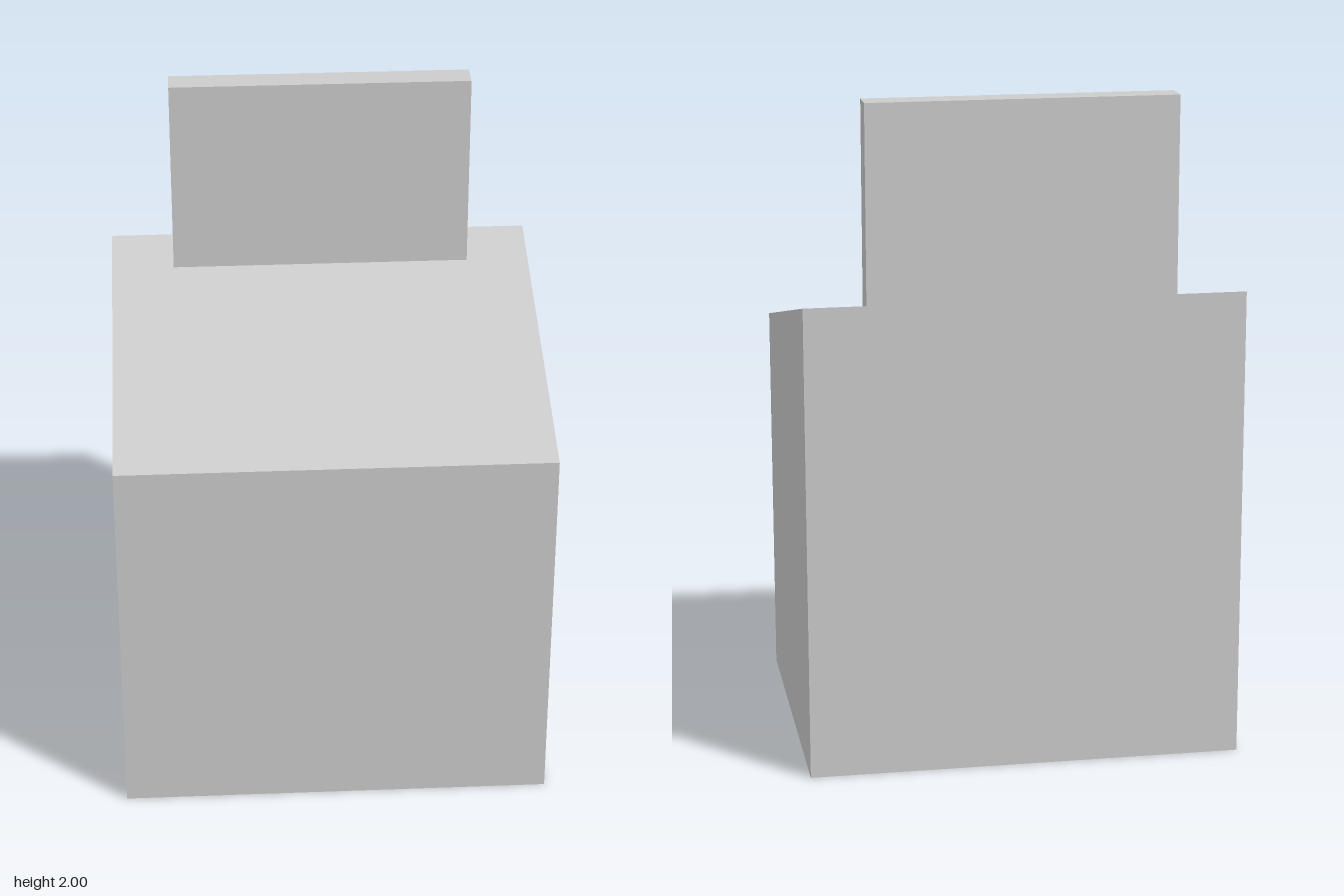
import * as THREE from 'three';

export function createModel() {
  const model = new THREE.Group();
  const lightGrey = new THREE.MeshStandardMaterial({ color: 0xcccccc });
  lightGrey.name = 'lightGrey';

  // Cabinet: side profile with a sloping top, extruded across the width
  const width = 1.3;
  const profile = new THREE.Shape([
    new THREE.Vector2(-0.517, 0),
    new THREE.Vector2(0.517, 0),
    new THREE.Vector2(0.517, 1.178),
    new THREE.Vector2(-0.517, 1.428),
  ]);
  const cabinetGeometry = new THREE.ExtrudeGeometry(profile, { depth: width, bevelEnabled: false });
  cabinetGeometry.translate(0, 0, -width / 2);
  cabinetGeometry.rotateY(-Math.PI / 2);
  const cabinet = new THREE.Mesh(cabinetGeometry, lightGrey);
  cabinet.name = 'cabinet';
  model.add(cabinet);

  // Upright panel, its foot sunk slightly into the slope
  const bottom = 1.38;
  const panel = new THREE.Mesh(new THREE.BoxGeometry(0.917, 2 - bottom, 0.085), lightGrey);
  panel.name = 'uprightPanel';
  panel.position.set(0, (2 + bottom) / 2, -0.406);
  model.add(panel);

  return model;
}
